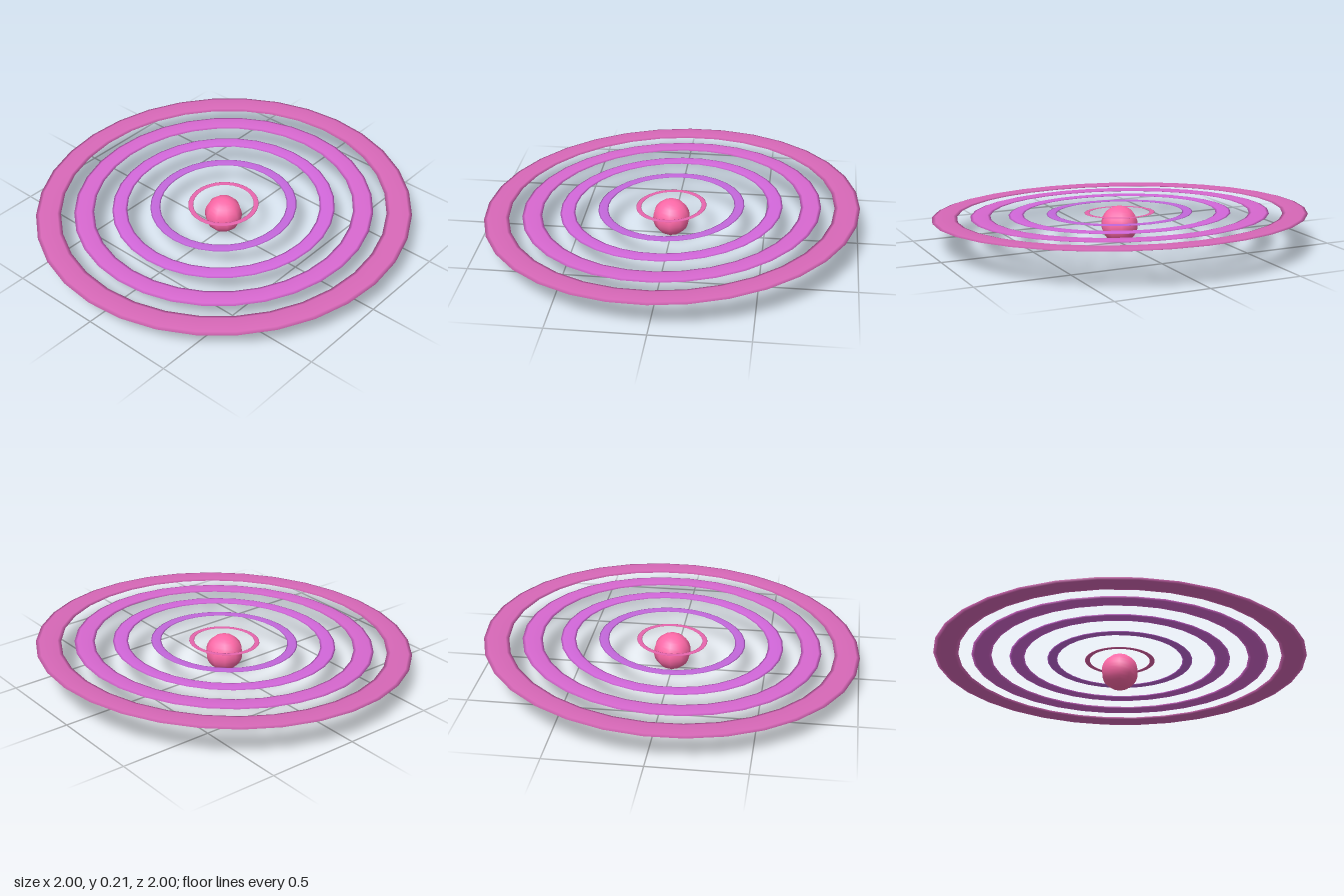
import * as THREE from 'three';

const material = (color) => new THREE.MeshStandardMaterial({ color });

export function createModel() {
  const model = new THREE.Group();
  model.name = 'ringedOrb';

  // central orb, ten-sided around the vertical axis
  const orb = new THREE.Mesh(new THREE.SphereGeometry(0.1, 10, 16), material(0xff69a8));
  orb.name = 'orb';
  orb.position.y = 0.1;
  model.add(orb);

  // flattened concentric rings, widening outwards, sharing one slight tilt
  const rings = new THREE.Group();
  rings.name = 'rings';
  rings.position.y = 0.166;
  rings.rotation.x = 0.042;
  const colors = [0xe866ae, 0xc468dc, 0xd468dc, 0xd868d0, 0xd868b8];
  colors.forEach((color, i) => {
    const geometry = new THREE.TorusGeometry(0.175 + 0.1896 * i, 0.0133 * (i + 1), 8, 32);
    geometry.scale(1, 1, 0.1);
    geometry.rotateX(Math.PI / 2);
    const ring = new THREE.Mesh(geometry, material(color));
    ring.name = `ring${i + 1}`;
    rings.add(ring);
  });
  model.add(rings);

  return model;
}
